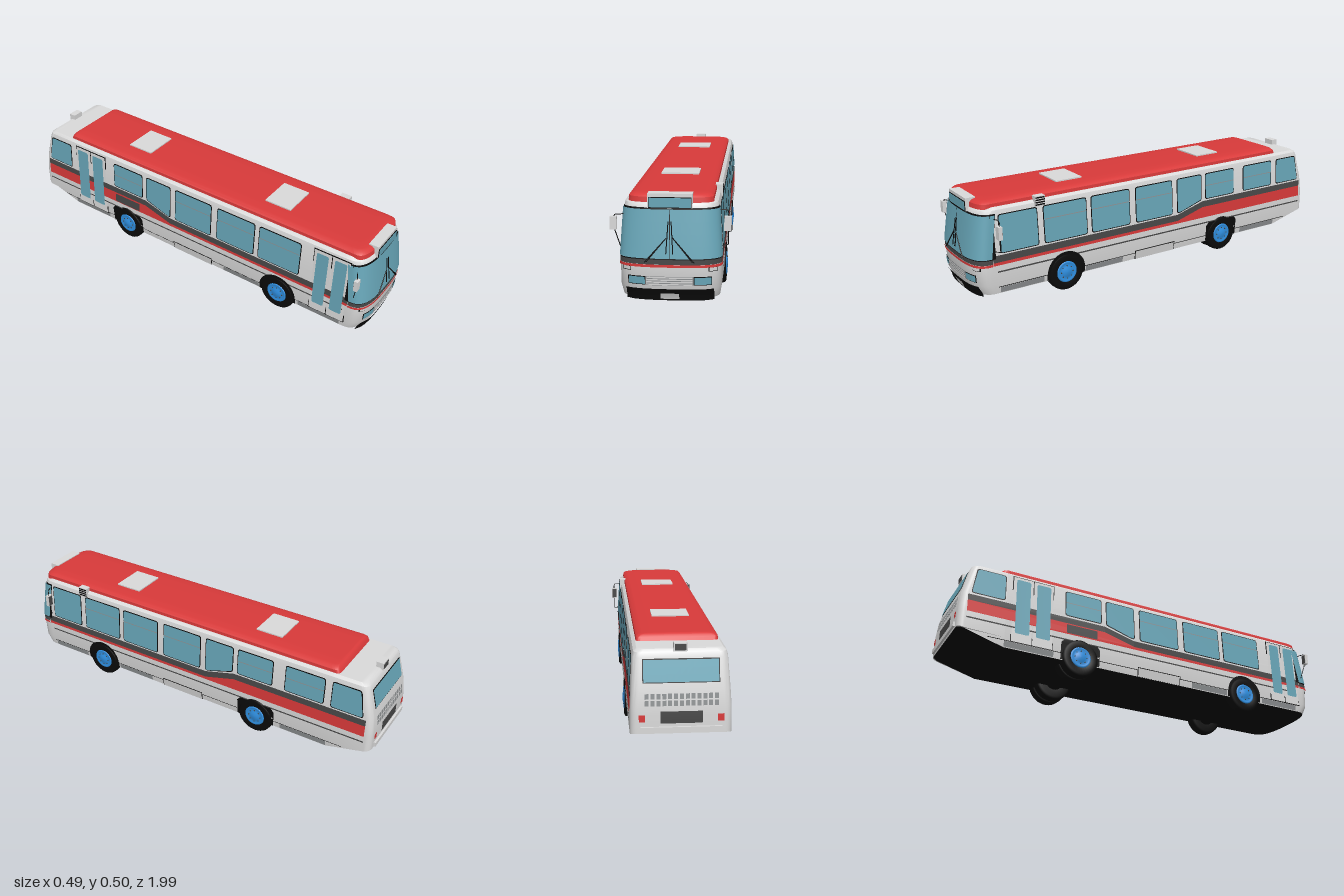
import * as THREE from 'three';
import { toCreasedNormals } from 'three/addons/utils/BufferGeometryUtils.js';

const paint = (name, color) => Object.assign(new THREE.MeshStandardMaterial({ color }), { name });
const white = paint('bodyWhite', 0xdadada), red = paint('red', 0xd93a3a), glass = paint('glass', 0x68a6b8);
const dark = paint('darkGrey', 0x484848), black = paint('black', 0x0b0b0b), blue = paint('hubBlue', 0x2f8fe0);
const grey = paint('midGrey', 0x8f9294);

// Body levels: height, half width, front z, rear z
const LEVELS = [
  [0.064, 0.2, 0.965, -0.985], [0.11, 0.207, 0.985, -0.987], [0.2, 0.207, 0.99, -0.987],
  [0.235, 0.206, 0.99, -0.985], [0.3, 0.202, 0.981, -0.978], [0.43, 0.194, 0.962, -0.945],
  [0.45, 0.189, 0.954, -0.938], [0.461, 0.176, 0.94, -0.925]];
const ROOF = [
  [0.455, 0.174, 0.95, -0.797], [0.476, 0.172, 0.947, -0.787], [0.485, 0.162, 0.938, -0.78],
  [0.489, 0.145, 0.925, -0.775], [0.491, 0.1, 0.9, -0.77]];
const FD = 0.09, POW = 3;

// Interpolated body dimension: k = 1 half width, 2 front z, 3 rear z
function at(y, k) {
  let i = 0;
  while (i < LEVELS.length - 2 && y > LEVELS[i + 1][0]) i++;
  const a = LEVELS[i], b = LEVELS[i + 1];
  const t = THREE.MathUtils.clamp((y - a[0]) / (b[0] - a[0]), 0, 1);
  return a[k] + (b[k] - a[k]) * t;
}

function frontPoint(a, hw, zf, fd = FD) {
  const c = Math.cos(a), s = Math.max(0, Math.sin(a));
  return [hw * Math.sign(c) * Math.abs(c) ** (2 / POW), zf - fd + fd * s ** (2 / POW)];
}

// Plan outline: bowed front, straight sides, small rear corners
function ring(hw, zf, zr, fd, rr) {
  const p = [];
  for (let i = 0; i <= 24; i++) p.push(i === 12 ? [0, zf] : frontPoint(Math.PI * i / 24, hw, zf, fd));
  const zs = Math.max(-0.77, zr + rr + 0.01);
  p.push([-hw, zs]);
  for (const [s, a0] of [[-1, Math.PI], [1, Math.PI * 1.5]])
    for (let i = 0; i <= 5; i++) {
      const a = a0 + Math.PI * i / 10;
      p.push([s * (hw - rr) + rr * Math.cos(a), zr + rr + rr * Math.sin(a)]);
    }
  p.push([hw, zs]);
  return p;
}

// Walls through stacked outlines, with a top or bottom closing surface
function loft(levels, fd, rr, { walls = true, top = false, bottom = false }) {
  const pos = [], idx = [], rows = [];
  const put = (x, y, z) => pos.push(x, y, z) / 3 - 1;
  for (const [y, hw, zf, zr] of levels)
    rows.push(ring(hw, zf, zr, fd, rr).map(([x, z]) => [x, Math.max(y, 0.064 + 0.28 * Math.max(0, -0.77 - z)), z]));
  const ids = rows.map(r => r.map(p => put(...p))), n = rows[0].length;
  for (let j = 0; walls && j < rows.length - 1; j++)
    for (let i = 0; i < n; i++) {
      const k = (i + 1) % n, [a, b, c, d] = [ids[j][i], ids[j][k], ids[j + 1][i], ids[j + 1][k]];
      idx.push(a, c, b, b, c, d);
    }
  const cap = (j, up) => {
    const mid = rows[j].map(p => put(0, p[1], p[2]));
    for (let i = 0; i < n; i++) {
      const k = (i + 1) % n, [a, b, c, d] = [ids[j][i], ids[j][k], mid[i], mid[k]];
      if (up) idx.push(c, b, a, c, d, b); else idx.push(c, a, b, c, b, d);
    }
  };
  if (top) cap(rows.length - 1, true);
  if (bottom) cap(0, false);
  const g = new THREE.BufferGeometry();
  g.setAttribute('position', new THREE.Float32BufferAttribute(pos, 3));
  g.setIndex(idx);
  return toCreasedNormals(g, 0.6);
}

export function createModel() {
  const bus = new THREE.Group();
  bus.name = 'bus';
  const add = (name, geo, mat, parent = bus) => {
    const m = new THREE.Mesh(geo, mat);
    m.name = name;
    parent.add(m);
    return m;
  };
  const box = (name, x0, x1, y0, y1, z0, z1, mat) =>
    add(name, new THREE.BoxGeometry(x1 - x0, y1 - y0, z1 - z0), mat)
      .position.set((x0 + x1) / 2, (y0 + y1) / 2, (z0 + z1) / 2);
  const tube = (name, pts, r, mat) => {
    const path = new THREE.CurvePath(), v = pts.map(p => new THREE.Vector3(...p));
    for (let i = 1; i < v.length; i++) path.add(new THREE.LineCurve3(v[i - 1], v[i]));
    add(name, new THREE.TubeGeometry(path, 12 * (v.length - 1), r, 6), mat);
  };
  const remap = (g, fn) => {
    const p = g.attributes.position;
    for (let i = 0; i < p.count; i++) p.setXYZ(i, ...fn(p.getX(i), p.getY(i)));
    g.computeVertexNormals();
    return g;
  };
  // Plate lying on a side wall; points are [z, y], corners optionally rounded
  const plate = (name, s, pts, mat, off, r = 0) => {
    const v = pts.map(([z, y]) => new THREE.Vector2(-s * z, y)), shape = new THREE.Shape();
    v.forEach((p, i) => {
      const q = v[(i + v.length - 1) % v.length], w = v[(i + 1) % v.length];
      const a = p.clone().add(q.clone().sub(p).setLength(r)), b = p.clone().add(w.clone().sub(p).setLength(r));
      if (i) shape.lineTo(a.x, a.y); else shape.moveTo(a.x, a.y);
      if (r) shape.quadraticCurveTo(p.x, p.y, b.x, b.y);
    });
    add(name, remap(new THREE.ShapeGeometry(shape, 4), (u, y) => [s * (at(y, 1) + off), y, -s * u]), mat);
  };
  const rect = (z0, z1, y0, y1) => [[z0, y0], [z1, y0], [z1, y1], [z0, y1]];
  // Rectangle lying on the front (s = 1) or rear (s = -1)
  const patch = (name, s, x0, x1, y0, y1, mat, off) => {
    const g = new THREE.PlaneGeometry(x1 - x0, y1 - y0, 12, 3).translate(s * (x0 + x1) / 2, (y0 + y1) / 2, 0);
    add(name, remap(g, (u, y) => {
      const x = s * u, f = Math.min(1, Math.abs(x) / at(y, 1));
      return [x, y, s > 0 ? at(y, 2) + off - FD + FD * (1 - f ** POW) ** (1 / POW) : at(y, 3) - off];
    }), mat);
  };
  // Band wrapped round the whole bowed front
  const band = (name, y0, y1, mat, off) =>
    add(name, remap(new THREE.PlaneGeometry(1, y1 - y0, 32, 4).translate(0.5, (y0 + y1) / 2, 0), (u, y) => {
      const [x, z] = frontPoint(Math.PI * (1 - u), at(y, 1) + off, at(y, 2) + off);
      return [x, y, z];
    }), mat);

  // Shell, floor and roof
  add('body', loft(LEVELS, FD, 0.03, { top: true }), white);
  add('floor', loft(LEVELS.slice(0, 1), FD, 0.03, { walls: false, bottom: true }), black);
  add('roof', loft(ROOF, 0.06, 0.02, { top: true }), red);
  for (const z of [-0.389, 0.441]) box('roofHatch', -0.085, 0.085, 0.485, 0.497, z - 0.069, z + 0.069, white);

  // Sides
  const windows = [[0.86, 0.675], [0.64, 0.42], [0.39, 0.18], [0.14, -0.075], [-0.11, -0.26], [-0.29, -0.475], [-0.545, -0.74], [-0.78, -0.935]];
  for (const s of [1, -1]) {
    plate('darkStripe', s, [[0.9, 0.214], [-0.11, 0.214], [-0.27, 0.257], [-0.952, 0.257], [-0.952, 0.288], [-0.27, 0.288], [-0.11, 0.246], [0.9, 0.246]], dark, 0.002);
    plate('redStripe', s, [[0.9, 0.2], [-0.952, 0.2], [-0.952, 0.257], [-0.27, 0.257], [-0.11, 0.214], [0.9, 0.214]], red, 0.002);
    plate('trimLine', s, rect(0.88, -0.952, 0.166, 0.173), dark, 0.002);
    plate('skirtLine', s, rect(0.88, -0.85, 0.095, 0.098), black, 0.002);
    for (const [a, b] of [[0.87, 0.65], [0.43, 0.22], [-0.53, -0.77]]) plate('skirtPanel', s, rect(a, b, 0.067, 0.094), grey, 0.002);
    plate('hatchOutline', s, rect(0.15, -0.09, 0.064, 0.11), black, 0.003);
    plate('hatchPanel', s, rect(0.146, -0.086, 0.064, 0.106), white, 0.004);
    plate('screenPillar', s, rect(0.902, 0.886, 0.232, 0.435), black, 0.0035);

    windows.forEach(([a, b], i) => {
      if (s < 0 && (i === 0 || i === 6)) return;
      const low = i < 4 ? 0.257 : 0.3, e = 0.004;
      const outline = g => i === 4 ? [[a + g, 0.257 - g], [a - 0.02, 0.26 - g], [b - g, 0.3 - g], [b - g, 0.428 + g], [a + g, 0.428 + g]]
        : [[a + g, low - g], [b - g, low - g], [b - g + (i === 7 ? 0.022 : 0), 0.428 + g], [a + g, 0.428 + g]];
      plate('windowSeal', s, outline(e), black, 0.0035, 0.014);
      plate('sideWindow', s, outline(0), glass, 0.005, 0.012);
      if ([1, 2, 3, 5, 6].includes(i)) plate('windowBar', s, rect(a, b, 0.366, 0.37), grey, 0.0065);
    });
  }

  // Two double-leaf doors on one side
  for (const [a, b] of [[0.89, 0.71], [-0.54, -0.74]]) {
    plate('doorSeal', -1, rect(a + 0.004, b - 0.004, 0.094, 0.442), black, 0.004);
    const m = (a + b) / 2;
    for (const [c, d] of [[a, m + 0.002], [m - 0.002, b]]) {
      plate('doorLeaf', -1, rect(c, d, 0.098, 0.438), white, 0.0055);
      plate('doorGlass', -1, rect(c - 0.014, d + 0.014, 0.14, 0.425), glass, 0.007, 0.01);
    }
  }
  plate('engineVent', -1, rect(-0.31, -0.47, 0.205, 0.25), dark, 0.004);

  // Intake box on the roof edge
  box('intakeBox', 0.165, 0.199, 0.432, 0.48, 0.63, 0.68, white);
  for (let i = 0; i < 4; i++) box('intakeSlot', 0.195, 0.2005, 0.437 + i * 0.011, 0.443 + i * 0.011, 0.632, 0.678, black);

  // Front
  band('screenSeal', 0.229, 0.436, black, 0.002);
  band('windscreen', 0.235, 0.43, glass, 0.004);
  patch('screenDivider', 1, -0.0015, 0.0015, 0.235, 0.43, black, 0.006);
  band('cowl', 0.21, 0.23, dark, 0.002);
  band('frontRedStripe', 0.199, 0.21, red, 0.004);
  patch('bumper', 1, -0.178, 0.178, 0.055, 0.108, black, 0.006);
  patch('numberPlate', 1, -0.038, 0.038, 0.062, 0.088, white, 0.009);
  patch('grille', 1, -0.094, 0.094, 0.122, 0.16, grey, 0.002);
  for (let i = 0; i < 4; i++) patch('grilleSlat', 1, -0.092, 0.092, 0.1245 + i * 0.0095, 0.1305 + i * 0.0095, white, 0.005);
  for (const s of [1, -1]) {
    const pair = (name, a, b, ...rest) => patch(name, 1, Math.min(s * a, s * b), Math.max(s * a, s * b), ...rest);
    pair('headlightRim', 0.097, 0.17, 0.124, 0.16, black, 0.002);
    pair('headlight', 0.1, 0.167, 0.127, 0.157, glass, 0.004);
    pair('signalRim', 0.156, 0.193, 0.181, 0.2, black, 0.002);
    pair('signalLamp', 0.159, 0.19, 0.184, 0.198, white, 0.004);
    // Wipers
    const zy = y => at(y, 2) + 0.007;
    for (const d of [0, 0.008])
      tube('wiperArm', [[s * (0.1 - d), 0.22 + d * 0.3, zy(0.22) - 0.002], [s * 0.012, 0.32, zy(0.32)]], 0.002, black);
    tube('wiperBlade', [[s * 0.014, 0.255, zy(0.255)], [s * 0.006, 0.385, zy(0.385)]], 0.002, black);
  }
  box('signBox', -0.09, 0.09, 0.435, 0.494, 0.915, 0.963, white);
  box('signSeal', -0.087, 0.087, 0.436, 0.48, 0.962, 0.966, black);
  box('signGlass', -0.084, 0.084, 0.439, 0.477, 0.965, 0.968, glass);

  // Mirrors
  tube('mirrorArm', [[0.194, 0.415, 0.885], [0.226, 0.415, 0.875], [0.231, 0.4, 0.87], [0.231, 0.267, 0.87], [0.205, 0.265, 0.885]], 0.002, black);
  box('mirrorHead', 0.213, 0.243, 0.327, 0.387, 0.864, 0.882, white);
  box('mirrorFace', 0.216, 0.24, 0.331, 0.383, 0.862, 0.865, dark);
  tube('mirrorArm', [[-0.19, 0.4, 0.92], [-0.225, 0.402, 0.94], [-0.231, 0.39, 0.94], [-0.225, 0.335, 0.94], [-0.2, 0.245, 0.92]], 0.002, black);
  box('mirrorHead', -0.245, -0.217, 0.341, 0.395, 0.934, 0.952, white);
  box('mirrorFace', -0.242, -0.22, 0.345, 0.391, 0.932, 0.935, dark);

  // Rear
  patch('rearWindowSeal', -1, -0.156, 0.156, 0.331, 0.426, black, 0.002);
  patch('rearWindow', -1, -0.152, 0.152, 0.335, 0.422, glass, 0.004);
  for (let r = 0; r < 2; r++)
    for (let i = 0; i < 13; i++) {
      const x = -0.15 + i * 0.0235;
      patch('rearLouver', -1, x, x + 0.016, 0.24 + r * 0.028, 0.262 + r * 0.028, grey, 0.003);
    }
  patch('rearPanel', -1, -0.085, 0.085, 0.168, 0.218, dark, 0.003);
  for (const x of [-0.172, 0.147]) patch('tailLamp', -1, x, x + 0.025, 0.175, 0.205, red, 0.003);
  box('rearBumper', -0.165, 0.165, 0.132, 0.154, -0.997, -0.97, white);
  box('rearLampBox', -0.028, 0.028, 0.452, 0.487, -0.94, -0.905, white);
  box('rearLampFace', -0.023, 0.023, 0.457, 0.482, -0.943, -0.939, dark);

  // Wheels: single front tyres, twin rear tyres
  const tyre = new THREE.LatheGeometry([[0.045, -0.026], [0.08, -0.027], [0.09, -0.021], [0.092, 0], [0.09, 0.021], [0.08, 0.027], [0.05, 0.026], [0.046, 0.02]]
    .map(p => new THREE.Vector2(...p)), 32);
  const rim = new THREE.LatheGeometry([[0.052, 0.026], [0.049, 0.03], [0.043, 0.029], [0.038, 0.0275], [0.024, 0.0275], [0.02, 0.033], [0, 0.034]]
    .map(p => new THREE.Vector2(...p)), 24);
  const bolt = new THREE.CylinderGeometry(0.003, 0.003, 0.004, 6);
  for (const s of [1, -1])
    for (const z of [0.536, -0.395]) {
      const front = z > 0;
      if (front) plate('wheelArch', s, Array.from({ length: 24 }, (_, i) => {
        const a = Math.PI * i / 23;
        return [z + 0.1 * Math.cos(a), 0.092 + 0.1 * Math.sin(a)];
      }).concat(rect(z - 0.1, z + 0.1, 0.066, 0.066).slice(0, 2)), black, 0.0035);
      else plate('wheelArch', s, [[z + 0.1, 0.066], [z + 0.1, 0.15], [z + 0.085, 0.168], [z - 0.085, 0.168], [z - 0.1, 0.15], [z - 0.1, 0.066]], black, 0.0035);
      const wheel = new THREE.Group();
      wheel.name = front ? 'frontWheel' : 'rearWheel';
      wheel.position.set(s * 0.186, 0.092, z);
      wheel.rotation.z = -s * Math.PI / 2;
      bus.add(wheel);
      add('tyre', tyre, black, wheel);
      if (!front) add('innerTyre', tyre, black, wheel).position.y = -0.057;
      add('rim', rim, blue, wheel);
      for (let i = 0; i < 8; i++) {
        const a = Math.PI * i / 4;
        add('wheelBolt', bolt, dark, wheel).position.set(0.031 * Math.cos(a), 0.029, 0.031 * Math.sin(a));
      }
    }
  return bus;
}
